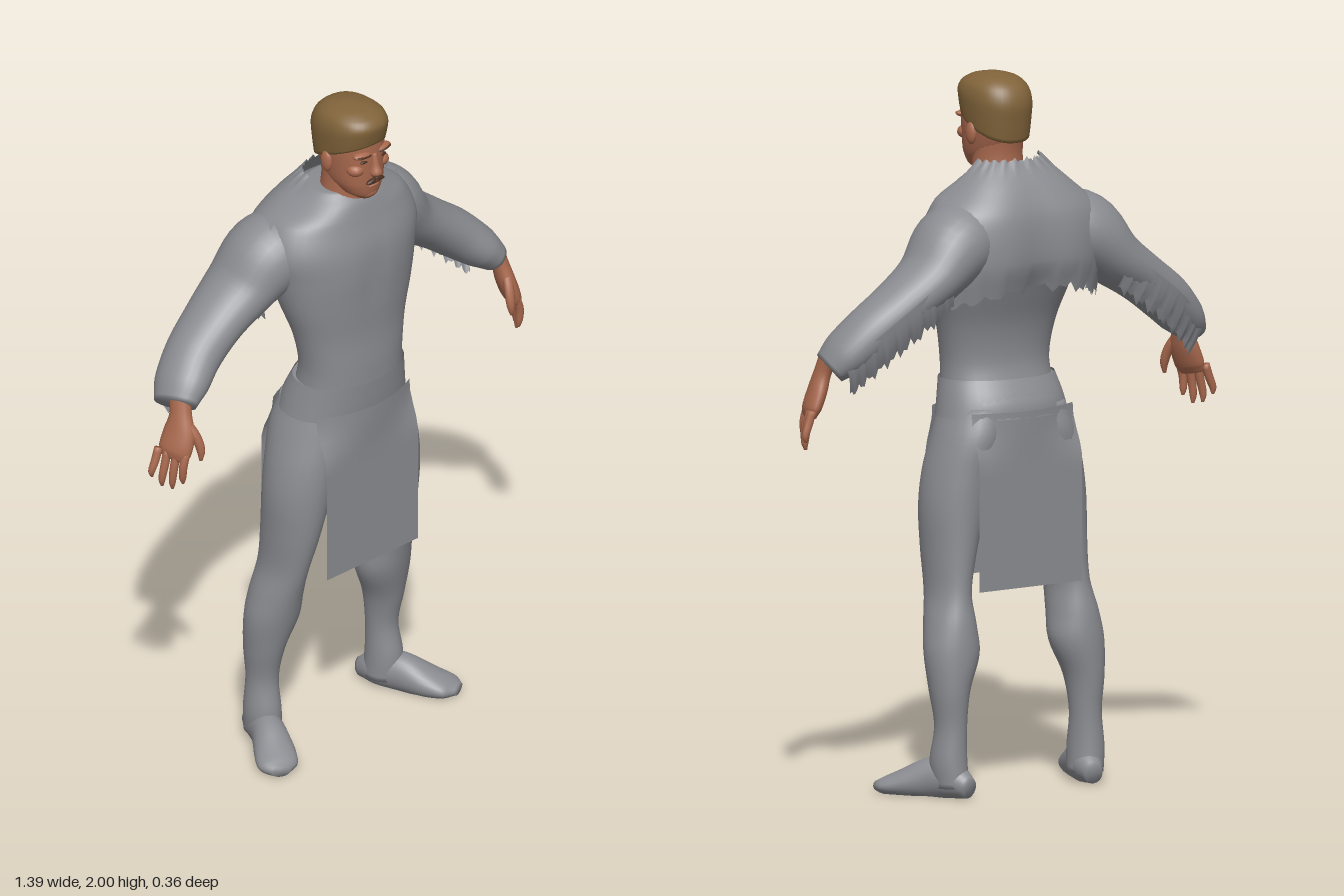
import * as THREE from 'three';

const mat = (name, color, side = THREE.FrontSide) => {
  const m = new THREE.MeshStandardMaterial({ color, side });
  m.name = name;
  return m;
};
const V = (x, y, z) => new THREE.Vector3(x, y, z);

// Smooth skin over sections [x, y, z, radiusU, radiusV].
// ref: null gives level rings (path must run upward), else rings square to the path with V along ref.
function loft(sections, { ref = null, seg = 28, sub = 5, power = 2, from = 0, to = 2 * Math.PI, cap = true, mod } = {}) {
  const centre = new THREE.CatmullRomCurve3(sections.map(s => V(s[0], s[1], s[2])));
  const radii = new THREE.CatmullRomCurve3(sections.map(s => V(s[3], s[4], 0)), false, 'catmullrom', 0.5);
  const closed = to - from > 6.28, cols = closed ? seg : seg + 1, rows = (sections.length - 1) * sub;
  const pos = [], idx = [];
  const bend = c => Math.sign(c) * Math.abs(c) ** (2 / power);
  for (let i = 0; i <= rows; i++) {
    const t = i / rows, c = centre.getPoint(t), r = radii.getPoint(t);
    let u = V(1, 0, 0), v = V(0, 0, 1);
    if (ref) {
      const d = centre.getTangent(t);
      u = d.clone().cross(ref).normalize();
      v = u.clone().cross(d);
    }
    for (let j = 0; j < cols; j++) {
      const a = from + (to - from) * j / seg;
      const p = c.clone().addScaledVector(u, r.x * bend(Math.cos(a))).addScaledVector(v, r.y * bend(Math.sin(a)));
      if (mod) mod(p, t, j);
      pos.push(p.x, p.y, p.z);
    }
  }
  for (let i = 0; i < rows; i++) for (let j = 0; j < seg; j++) {
    const a = i * cols + j, b = i * cols + (j + 1) % cols;
    idx.push(a, a + cols, b, b, a + cols, b + cols);
  }
  if (cap && closed) [0, rows].forEach(row => {
    const m = V(0, 0, 0), start = row * cols, n = pos.length / 3;
    for (let j = 0; j < cols; j++) m.add(V(...pos.slice((start + j) * 3, (start + j) * 3 + 3)));
    m.divideScalar(cols);
    pos.push(m.x, m.y, m.z);
    for (let j = 0; j < cols; j++) {
      const a = start + j, b = start + (j + 1) % cols;
      row ? idx.push(n, b, a) : idx.push(n, a, b);
    }
  });
  return build(pos, idx);
}

function build(pos, idx) {
  const g = new THREE.BufferGeometry();
  g.setAttribute('position', new THREE.Float32BufferAttribute(pos, 3));
  g.setIndex(idx);
  g.computeVertexNormals();
  return g;
}

// Open sheet from a rule f(u, v) -> Vector3
function sheet(nu, nv, f) {
  const pos = [], idx = [];
  for (let i = 0; i <= nv; i++) for (let j = 0; j <= nu; j++) pos.push(...f(j / nu, i / nv).toArray());
  for (let i = 0; i < nv; i++) for (let j = 0; j < nu; j++) {
    const a = i * (nu + 1) + j, b = a + nu + 1;
    idx.push(a, b, a + 1, a + 1, b, b + 1);
  }
  return build(pos, idx);
}

export function createModel() {
  const root = new THREE.Group();
  root.name = 'standingMan';
  const cloth = mat('greyCloth', 0x8b8c91, THREE.DoubleSide);
  const skin = mat('skin', 0xa9694e);
  const hair = mat('hair', 0x80633a);
  const dark = mat('darkBrown', 0x4a2f20);
  const add = (name, geo, m) => {
    const mesh = new THREE.Mesh(geo, m);
    mesh.name = name;
    root.add(mesh);
    return mesh;
  };
  const ball = (name, m, x, y, z, sx, sy, sz, rz = 0) => {
    const b = add(name, new THREE.SphereGeometry(1, 14, 10), m);
    b.position.set(x, y, z);
    b.scale.set(sx, sy, sz);
    b.rotation.z = rz;
    return b;
  };
  const jag = n => 0.5 + 0.5 * Math.sin(n * 2.3) * Math.cos(n * 0.9 + 1);

  // Torso with chest muscles and a hollow along the breastbone
  add('torso', loft([
    [0, 1.12, 0.055, 0.168, 0.115], [0, 1.2, 0.065, 0.165, 0.105], [0, 1.3, 0.058, 0.183, 0.108],
    [0, 1.4, 0.042, 0.215, 0.128], [0, 1.5, 0.023, 0.24, 0.15], [0, 1.58, 0.01, 0.255, 0.155],
    [0, 1.66, 0.0, 0.22, 0.14], [0, 1.705, 0.01, 0.135, 0.115], [0, 1.735, 0.02, 0.09, 0.08]],
  { seg: 40, power: 2.2, mod: p => {
    if (p.z > 0.05) p.z -= 0.008 * Math.exp(-((p.x / 0.03) ** 2)) * Math.exp(-(((p.y - 1.5) / 0.1) ** 2));
  } }), cloth);

  // Short jacket back with a standing collar, hollow spine and ragged hem
  add('jacketBack', loft([
    [0, 1.39, 0, 0.26, 0.165], [0, 1.5, 0, 0.275, 0.185], [0, 1.62, 0, 0.265, 0.172],
    [0, 1.7, 0, 0.18, 0.128], [0, 1.77, 0.01, 0.1, 0.075]],
  { seg: 44, power: 2.4, from: Math.PI, to: 2 * Math.PI, mod: (p, t, j) => {
    p.z += 0.028 * Math.exp(-((p.x / 0.08) ** 2)) * (1 - t);
    const low = Math.max(0, 1 - t * 4), high = Math.max(0, t * 8 - 7);
    p.y += low * (0.05 * (1 - (p.x / 0.26) ** 2) - 0.035 * jag(j)) + high * 0.018 * (jag(j) - 0.5);
  } }), cloth);

  // Hips and the cloth wrapped round them
  add('hips', loft([
    [0, 0.88, 0.03, 0.08, 0.07], [0, 0.93, 0.025, 0.15, 0.105], [0, 1.0, 0.025, 0.19, 0.122],
    [0, 1.08, 0.03, 0.185, 0.13], [0, 1.15, 0.052, 0.168, 0.116]], { seg: 36, power: 2.2 }), cloth);
  add('waistCloth', loft([
    [0, 1.05, 0.031, 0.197, 0.136], [0, 1.1, 0.04, 0.186, 0.132], [0, 1.155, 0.056, 0.173, 0.12]],
  { seg: 40, power: 2.2, cap: false }), cloth);

  // Hanging panels: wrapped at the top, flat below
  [['frontPanel', 1, 0.163, 0.17], ['backPanel', -1, -0.102, -0.105]].forEach(([name, dir, zFlat, zTop]) =>
    add(name, sheet(12, 14, (u, v) => {
      const x = -0.18 + 0.345 * u, y = 1.07 - 0.495 * v;
      const k = THREE.MathUtils.smoothstep(y, 0.92, 1.06);
      return V(x, y, zFlat + k * (zTop - zFlat - dir * 0.05 * (x / 0.18) ** 2));
    }), cloth));

  const sides = { left: 1, right: -1 };
  for (const [side, s] of Object.entries(sides)) {
    const flip = list => list.map(([x, ...rest]) => [x * s, ...rest]);
    const name = part => side + part;

    // Leg and outward-turned foot
    add(name('Leg'), loft(flip([
      [0.225, 0.03, -0.05, 0.048, 0.058], [0.23, 0.1, -0.045, 0.05, 0.058], [0.226, 0.2, -0.05, 0.044, 0.049],
      [0.225, 0.3, -0.043, 0.056, 0.062], [0.209, 0.4, -0.03, 0.079, 0.076], [0.205, 0.48, -0.016, 0.07, 0.082],
      [0.198, 0.57, 0.005, 0.056, 0.086], [0.185, 0.68, 0.02, 0.069, 0.097], [0.168, 0.8, 0.027, 0.088, 0.106],
      [0.15, 0.9, 0.027, 0.092, 0.112], [0.122, 1.0, 0.022, 0.09, 0.118], [0.1, 1.08, 0.03, 0.08, 0.11]])), cloth);
    add(name('Foot'), loft(flip([
      [0.208, 0.03, -0.118, 0.025, 0.028], [0.222, 0.045, -0.065, 0.045, 0.05], [0.25, 0.048, 0, 0.048, 0.058],
      [0.29, 0.03, 0.07, 0.058, 0.042], [0.322, 0.02, 0.118, 0.055, 0.026], [0.337, 0.016, 0.146, 0.025, 0.014]]),
    { ref: V(0, 1, 0), mod: p => { p.y = Math.max(0, p.y); } }), cloth);

    // Sleeved arm
    const arm = flip([
      [0.13, 1.575, -0.02, 0.1, 0.11], [0.215, 1.545, -0.045, 0.112, 0.122], [0.305, 1.468, -0.06, 0.083, 0.11],
      [0.4, 1.402, -0.058, 0.072, 0.095], [0.49, 1.336, -0.045, 0.07, 0.087], [0.56, 1.275, -0.02, 0.06, 0.083],
      [0.6, 1.235, -0.002, 0.043, 0.066]]);
    add(name('Sleeve'), loft(arm, { ref: V(0, 0, 1) }), cloth);

    // Ragged edge hanging behind and under the sleeve
    const path = new THREE.CatmullRomCurve3(arm.slice(2).map(a => V(a[0], a[1], a[2])));
    add(name('SleeveFringe'), sheet(36, 4, (u, v) => {
      const p = path.getPoint(u);
      const drop = 0.075 + 0.035 * jag(u * 36);
      return V(p.x - s * 0.03 * v, p.y + 0.02 - v * drop, p.z - 0.103 + 0.02 * u + 0.025 * v * v);
    }), cloth);

    // Hand: palm, four fingers, thumb
    add(name('Palm'), loft(flip([
      [0.592, 1.27, 0.01, 0.026, 0.034], [0.604, 1.22, 0.025, 0.024, 0.033], [0.616, 1.17, 0.033, 0.026, 0.047],
      [0.634, 1.12, 0.035, 0.024, 0.05], [0.642, 1.095, 0.033, 0.014, 0.04]]),
    { ref: V(0.35 * s, 0, -1), seg: 18 }), skin);
    for (let i = 0; i < 4; i++) {
      const x = 0.624 + 0.012 * i, z = 0.07 - 0.025 * i, len = [0.09, 0.11, 0.105, 0.08][i];
      add(name('Finger' + (i + 1)), loft(flip([
        [x, 1.12, z, 0.012, 0.012], [x + 0.012, 1.12 - len * 0.45, z, 0.012, 0.012],
        [x + 0.012 + 0.004 * i, 1.12 - len * 0.85, z - 0.002, 0.01, 0.01],
        [x + 0.01 + 0.004 * i, 1.115 - len, z - 0.003, 0.004, 0.004]]),
      { ref: V(0, 0, 1), seg: 10, sub: 3 }), skin);
    }
    add(name('Thumb'), loft(flip([
      [0.605, 1.2, 0.05, 0.014, 0.014], [0.592, 1.16, 0.075, 0.014, 0.014],
      [0.586, 1.12, 0.088, 0.012, 0.012], [0.588, 1.09, 0.09, 0.005, 0.005]]),
    { ref: V(0, 0, 1), seg: 10, sub: 3 }), skin);

    // Face details on each side
    ball(name('Ear'), skin, s * 0.083, 1.835, 0.058, 0.012, 0.032, 0.02);
    ball(name('Cheek'), skin, s * 0.046, 1.825, 0.135, 0.026, 0.02, 0.026);
    ball(name('BrowRidge'), skin, s * 0.036, 1.874, 0.152, 0.032, 0.011, 0.018);
    ball(name('Eyebrow'), dark, s * 0.037, 1.873, 0.163, 0.026, 0.004, 0.009, s * 0.12);
    ball(name('Eye'), dark, s * 0.034, 1.853, 0.158, 0.014, 0.005, 0.006);
    ball(name('Moustache'), dark, s * 0.015, 1.789, 0.167, 0.019, 0.006, 0.008, -s * 0.25);
  }

  // Neck and head
  add('neck', loft([
    [0, 1.66, 0.03, 0.085, 0.085], [0, 1.71, 0.045, 0.075, 0.075], [0, 1.77, 0.05, 0.07, 0.07],
    [0, 1.84, 0.045, 0.07, 0.075]]), skin);
  add('head', loft([
    [0, 1.722, 0.11, 0.025, 0.035], [0, 1.74, 0.098, 0.05, 0.06], [0, 1.775, 0.082, 0.07, 0.082],
    [0, 1.83, 0.068, 0.079, 0.098], [0, 1.88, 0.063, 0.082, 0.103], [0, 1.93, 0.06, 0.08, 0.1],
    [0, 1.97, 0.06, 0.055, 0.07]], { seg: 36, power: 2.3 }), skin);
  add('nose', loft([
    [0, 1.8, 0.165, 0.01, 0.008], [0, 1.812, 0.168, 0.018, 0.02], [0, 1.835, 0.164, 0.012, 0.016],
    [0, 1.872, 0.158, 0.009, 0.01]], { seg: 14 }), skin);
  ball('chin', skin, 0, 1.742, 0.142, 0.03, 0.018, 0.018);
  ball('lowerLip', skin, 0, 1.77, 0.16, 0.02, 0.005, 0.008);
  ball('mouth', dark, 0, 1.778, 0.163, 0.022, 0.003, 0.005);

  // Short hair, lower at the nape than at the brow
  add('hair', loft([
    [0, 1.862, 0.062, 0.085, 0.104], [0, 1.9, 0.062, 0.089, 0.111], [0, 1.94, 0.062, 0.09, 0.115],
    [0, 1.97, 0.063, 0.08, 0.1], [0, 1.99, 0.065, 0.055, 0.068], [0, 2.0, 0.068, 0.015, 0.02]],
  { seg: 40, power: 2.3, mod: (p, t, j) => {
    p.y += (1 - t) ** 2 * 0.42 * (p.z - 0.075);
    p.x *= 1 + 0.01 * Math.sin(j * 2.5) * (1 - t);
  } }), hair);

  return root;
}
